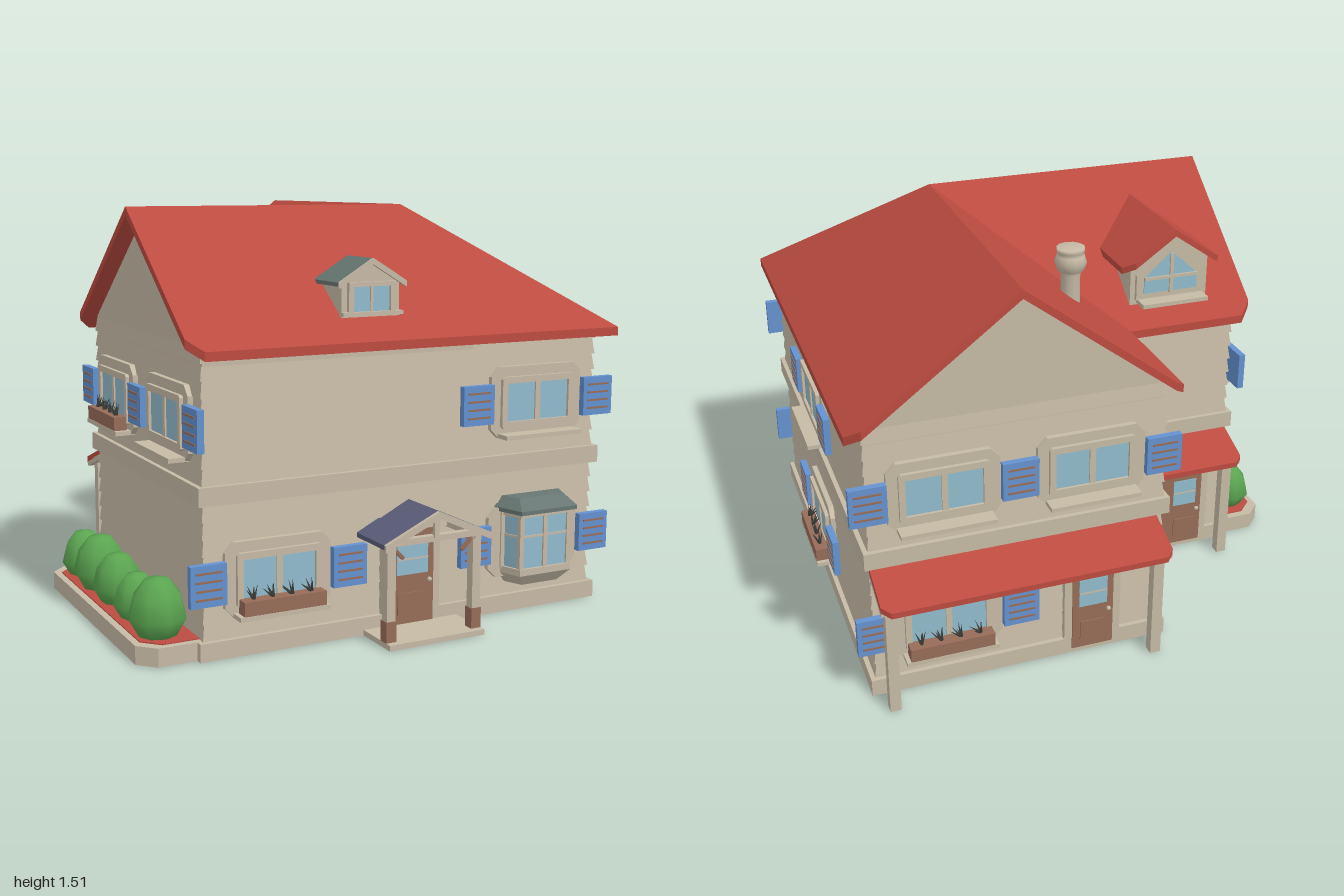
import * as THREE from 'three';

const mat = (name, color, side = THREE.FrontSide) => {
  const m = new THREE.MeshStandardMaterial({ color, side });
  m.name = name;
  return m;
};
const WALL = mat('stone beige', 0xc6baa5), ROOF = mat('roof red', 0xbc4b40), GLASS = mat('pale blue glass', 0x92bbcd);
const BLUE = mat('shutter blue', 0x6492cf), WOOD = mat('brown wood', 0x966c58), GREEN = mat('leaf green', 0x5ba551);
const SLATE = mat('porch slate', 0x5a5d78), GREY = mat('grey green metal', 0x687773), DARK = mat('dark plants', 0x3a3d3a);

function add(parent, name, geo, m, x = 0, y = 0, z = 0) {
  const mesh = new THREE.Mesh(geo, m);
  mesh.name = name;
  mesh.position.set(x, y, z);
  parent.add(mesh);
  return mesh;
}
const box = (p, name, m, w, h, d, x, y, z) => add(p, name, new THREE.BoxGeometry(w, h, d), m, x, y, z);
function group(parent, name, x = 0, y = 0, z = 0, ry = 0) {
  const g = new THREE.Group();
  g.name = name;
  g.position.set(x, y, z);
  g.rotation.y = ry;
  parent.add(g);
  return g;
}
const shapeOf = pts => new THREE.Shape(pts.map(p => new THREE.Vector2(p[0], p[1])));
const extrude = (pts, depth) => new THREE.ExtrudeGeometry(shapeOf(pts), { depth, bevelEnabled: false });
// rectangle with cut corners
const cutRect = (w, h, c) => [[-w + c, -h], [w - c, -h], [w, -h + c], [w, h - c], [w - c, h], [-w + c, h], [-w, h - c], [-w, -h + c]];

// plate over an [x, z] outline whose top height follows h(x, z)
function slab(pts, t, h) {
  const g = extrude(pts.map(([x, z]) => [x, -z]), t).rotateX(-Math.PI / 2);
  const p = g.attributes.position;
  for (let i = 0; i < p.count; i++) p.setY(i, p.getY(i) - t + h(p.getX(i), p.getZ(i)));
  g.computeVertexNormals();
  return g;
}

// skin between stacked rings of [x, y, z] points, closed at both ends
function loft(rings) {
  const v = [], n = rings[0].length;
  for (let r = 0; r + 1 < rings.length; r++) for (let i = 0; i < n; i++) {
    const j = (i + 1) % n, a = rings[r][i], b = rings[r][j], c = rings[r + 1][j], d = rings[r + 1][i];
    v.push(...a, ...b, ...c, ...a, ...c, ...d);
  }
  const plan = rings[0].map(p => new THREE.Vector2(p[0], -p[2]));
  const top = rings[rings.length - 1];
  for (const [a, b, c] of THREE.ShapeUtils.triangulateShape(plan, [])) {
    v.push(...rings[0][a], ...rings[0][c], ...rings[0][b], ...top[a], ...top[b], ...top[c]);
  }
  const g = new THREE.BufferGeometry();
  g.setAttribute('position', new THREE.Float32BufferAttribute(v, 3));
  g.computeVertexNormals();
  return g;
}

function shutter(parent, x, y) {
  const g = group(parent, 'shutter', x, y, 0.03);
  box(g, 'shutterPanel', BLUE, 0.132, 0.145, 0.025, 0, 0, 0);
  for (let i = 0; i < 4; i++) box(g, 'shutterSlat', WOOD, 0.095, 0.007, 0.006, 0, -0.045 + i * 0.03, 0.013);
}

function flowerBox(parent, y) {
  const g = group(parent, 'flowerBox', 0, y, 0.055);
  box(g, 'trough', WOOD, 0.31, 0.05, 0.05, 0, 0, 0);
  for (let i = 0; i < 4; i++) for (let k = -2; k <= 2; k++) {
    const leaf = new THREE.ConeGeometry(0.006, 0.055, 4).translate(0, 0.0275, 0);
    leaf.rotateZ(-k * 0.45).rotateY((i + k) * 0.6);
    add(g, 'plantLeaf', leaf, DARK, -0.11 + i * 0.073, 0.022, 0);
  }
}

// window facing local +z, origin at its centre on the wall
function windowUnit(parent, x, y, z, ry, { flowers = false, sides = [-1, 1] } = {}) {
  const g = group(parent, 'window', x, y, z, ry);
  add(g, 'surround', extrude(cutRect(0.2, 0.132, 0.035), 0.02), WALL);
  const frame = shapeOf(cutRect(0.16, 0.095, 0.008));
  frame.holes.push(new THREE.Path(cutRect(0.137, 0.071, 0.001).map(p => new THREE.Vector2(...p))));
  add(g, 'frame', new THREE.ExtrudeGeometry(frame, { depth: 0.034, bevelEnabled: false }), WALL);
  box(g, 'glass', GLASS, 0.275, 0.143, 0.006, 0, 0, 0.021);
  box(g, 'mullion', WALL, 0.022, 0.143, 0.02, 0, 0, 0.02);
  box(g, 'sill', WALL, 0.34, 0.016, 0.08, 0, -0.122, 0.04);
  if (flowers) flowerBox(g, -0.088);
  for (const s of sides) shutter(g, s * 0.268, 0);
}

function door(parent, x, z, ry, w, panes) {
  const g = group(parent, 'door', x, 0.02, z, ry);
  box(g, 'doorFrame', WALL, w + 0.06, 0.385, 0.024, 0, 0.192, 0.01);
  box(g, 'doorLeaf', WOOD, w, 0.345, 0.014, 0, 0.1725, 0.02);
  const pw = w / panes;
  for (let i = 0; i < panes; i++) {
    const px = -w / 2 + pw * (i + 0.5);
    box(g, 'doorGlass', GLASS, pw - 0.05, 0.115, 0.006, px, 0.24, 0.027);
    box(g, 'doorBar', WALL, pw - 0.05, 0.006, 0.008, px, 0.24, 0.028);
    box(g, 'doorPanel', WOOD, pw - 0.06, 0.08, 0.008, px, 0.075, 0.028);
  }
  add(g, 'knob', new THREE.SphereGeometry(0.009, 10, 8), WALL, w / 2 - 0.02, 0.155, 0.034);
}

function awning(parent, x0, x1, z, posts) {
  const g = group(parent, 'awning'), c = 0.03, zo = z - 0.19;
  const h = (x, zz) => 0.53 - (z - zz) * 0.36;
  const outline = [[x0, z], [x1, z], [x1, zo + c], [x1 - c, zo], [x0 + c, zo], [x0, zo + c]];
  add(g, 'awningRoof', slab(outline, 0.022, h), ROOF);
  const under = [[x0, z], [x1, z], [x1, zo + 0.03], [x0, zo + 0.03]];
  add(g, 'awningRafters', slab(under, 0.022, (x, zz) => h(x, zz) - 0.018), WALL);
  for (const x of posts) box(g, 'awningPost', WALL, 0.04, 0.48, 0.04, x, 0.24, z - 0.11);
}

export function createModel() {
  const house = new THREE.Group();
  house.name = 'house';

  // walls: plinth, overlapping boards and middle band in one skin
  const plan = [[-0.735, 0.79, -1, 1], [0.865, 0.79, 1, 1], [0.865, -0.805, 1, -1], [-0.22, -0.805, -1, -1], [-0.22, -0.28, -1, -1], [-0.735, -0.28, -1, -1]];
  const profile = [[0, 0.025], [0.065, 0.025]];
  const boards = (y0, y1, n) => {
    const s = (y1 - y0) / n;
    for (let i = 0; i < n; i++) profile.push([y0 + i * s, 0.008], [y0 + (i + 1) * s, 0]);
  };
  boards(0.065, 0.535, 8);
  profile.push([0.535, 0.025], [0.6, 0.025]);
  boards(0.6, 1.07, 8);
  add(house, 'walls', loft(profile.map(([y, d]) => plan.map(([x, z, sx, sz]) => [x + sx * d, y, z + sz * d]))), WALL);

  // gable walls under the two ridges
  const gable = [[-0.54, 1.0], [0.54, 1.0], [0.54, 1.07], [0, 1.47], [-0.54, 1.07]];
  add(house, 'backGable', extrude(gable, 1.06), WALL, 0.325, 0, -0.806);
  add(house, 'sideGable', extrude(gable, 1.06).rotateY(Math.PI / 2), WALL, -0.736, 0, 0.26);

  // main roof: four slopes meeting at a hip and a valley
  const c = 0.05, k = 0.755, R = [0.33, 0.26], V = [-0.28, -0.35], H = [0.93, 0.86];
  const alongX = (x, z) => 1.51 - k * Math.abs(z - 0.26), alongZ = (x, z) => 1.51 - k * Math.abs(x - 0.33);
  add(house, 'frontRoof', slab([[-0.8, 0.26], R, H, [-0.8 + c, 0.86], [-0.8, 0.86 - c]], 0.032, alongX), ROOF);
  add(house, 'rearWingRoof', slab([[-0.8, 0.26], R, V, [-0.8 + c, -0.35], [-0.8, -0.35 + c]], 0.032, alongX), ROOF);
  add(house, 'rightRoof', slab([R, [0.33, -0.87], [0.93 - c, -0.87], [0.93, -0.87 + c], H], 0.032, alongZ), ROOF);
  add(house, 'innerRoof', slab([[0.33, -0.87], R, V, [-0.28, -0.87 + c], [-0.28 + c, -0.87]], 0.032, alongZ), ROOF);

  // front dormer
  const fd = group(house, 'frontDormer', -0.085, 0, 0);
  add(fd, 'dormerWall', extrude([[-0.115, 1.05], [0.115, 1.05], [0.115, 1.25], [0, 1.318], [-0.115, 1.25]], 0.165), WALL, 0, 0, 0.595);
  for (const s of [-1, 1]) {
    const h = x => 1.337 - Math.abs(x) * 0.6;
    add(fd, 'dormerRoof', slab([[0, 0.59], [s * 0.135, 0.59], [s * 0.135, 0.77], [0, 0.77]], 0.014, h), GREY);
    add(fd, 'dormerTrim', slab([[0, 0.765], [s * 0.135, 0.765], [s * 0.135, 0.778], [0, 0.778]], 0.022, h), WALL);
    box(fd, 'dormerJamb', WALL, 0.02, 0.11, 0.02, s * 0.083, 1.195, 0.765);
  }
  box(fd, 'dormerGlass', GLASS, 0.145, 0.09, 0.006, 0, 1.195, 0.762);
  box(fd, 'dormerMullion', WALL, 0.01, 0.09, 0.014, 0, 1.195, 0.763);
  box(fd, 'dormerHead', WALL, 0.186, 0.016, 0.02, 0, 1.247, 0.765);
  box(fd, 'dormerSill', WALL, 0.24, 0.014, 0.03, 0, 1.145, 0.768);

  // rear dormer with a triangular window
  const rd = group(house, 'rearDormer', -0.47, 0, 0);
  add(rd, 'dormerWall', extrude([[-0.16, 1.08], [0.16, 1.08], [0.16, 1.28], [0, 1.395], [-0.16, 1.28]], 0.34), WALL, 0, 0, -0.26);
  for (const s of [-1, 1]) {
    add(rd, 'dormerRoof', slab([[0, -0.31], [0, 0.14], [s * 0.2, -0.047], [s * 0.2, -0.27], [s * 0.16, -0.31]], 0.025, x => 1.42 - Math.abs(x) * 0.7), ROOF);
  }
  add(rd, 'dormerSurround', extrude([[-0.14, 1.14], [0.14, 1.14], [0.14, 1.24], [0, 1.36], [-0.14, 1.24]], 0.015), WALL, 0, 0, -0.275);
  add(rd, 'dormerGlass', extrude([[-0.11, 1.165], [0.11, 1.165], [0.11, 1.225], [0, 1.325], [-0.11, 1.225]], 0.005), GLASS, 0, 0, -0.279);
  box(rd, 'dormerMullion', WALL, 0.014, 0.16, 0.012, 0, 1.24, -0.28);
  box(rd, 'dormerBar', WALL, 0.22, 0.012, 0.012, 0, 1.225, -0.28);
  box(rd, 'dormerSill', WALL, 0.27, 0.016, 0.07, 0, 1.135, -0.3);

  // chimney pot
  const pot = [[0.036, 1.18], [0.036, 1.34], [0.05, 1.355], [0.06, 1.385], [0.052, 1.41], [0.045, 1.415], [0.052, 1.425], [0.052, 1.44], [0, 1.44]];
  add(house, 'chimneyPot', new THREE.LatheGeometry(pot.map(p => new THREE.Vector2(...p)), 12), WALL, -0.015, 0, -0.39);

  // windows
  const hi = 0.797, lo = 0.27, P = Math.PI;
  windowUnit(house, 0.595, hi, 0.794, 0);
  windowUnit(house, -0.467, lo, 0.794, 0, { flowers: true });
  windowUnit(house, 0.869, hi, 0, P / 2);
  windowUnit(house, 0.869, lo, 0, P / 2, { flowers: true });
  windowUnit(house, 0.6, hi, -0.809, P);
  windowUnit(house, 0.064, hi, -0.809, P, { sides: [1] });
  windowUnit(house, 0.6, lo, -0.809, P, { flowers: true });
  windowUnit(house, -0.739, hi, -0.01, -P / 2, { flowers: true });
  windowUnit(house, -0.739, hi, 0.526, -P / 2, { sides: [1] });

  // bay window
  const bay = group(house, 'bayWindow', 0.595, 0, 0.794);
  add(bay, 'surround', extrude(cutRect(0.2, 0.132, 0.035), 0.02), WALL, 0, lo, 0);
  for (const s of [-1, 1]) shutter(bay, s * 0.268, lo);
  const ring = (y, w, f, d) => [[-w, y, 0], [-f, y, d], [f, y, d], [w, y, 0]].map(p => [...p]);
  add(bay, 'bayBase', loft([ring(0.11, 0.11, 0.08, 0.07), ring(0.155, 0.15, 0.115, 0.105), ring(0.18, 0.15, 0.115, 0.105)]), WALL);
  add(bay, 'bayGlass', loft([ring(0.175, 0.14, 0.108, 0.094), ring(0.4, 0.14, 0.108, 0.094)]), GLASS);
  add(bay, 'bayHead', loft([ring(0.375, 0.148, 0.113, 0.102), ring(0.4, 0.148, 0.113, 0.102)]), WALL);
  add(bay, 'bayRoof', loft([ring(0.39, 0.162, 0.125, 0.122), ring(0.405, 0.162, 0.125, 0.122), ring(0.443, 0.13, 0.1, 0.07)]), GREY);
  for (const s of [-1, 0, 1]) box(bay, 'bayMullion', WALL, 0.018, 0.22, 0.018, s * 0.106, 0.28, 0.092);
  for (const s of [-1, 1]) box(bay, 'bayJamb', WALL, 0.018, 0.22, 0.025, s * 0.138, 0.28, 0.014);
  add(bay, 'bayBar', loft([ring(0.297, 0.145, 0.11, 0.098), ring(0.305, 0.145, 0.11, 0.098)]), WALL);

  // front porch
  const porch = group(house, 'porch', 0.062, 0, 0);
  box(porch, 'porchStep', WALL, 0.39, 0.02, 0.21, 0, 0.01, 0.895);
  for (const s of [-1, 1]) {
    const h = x => 0.472 - Math.abs(x) * 0.45;
    add(porch, 'porchRoof', slab([[0, 0.79], [s * 0.215, 0.79], [s * 0.215, 0.99], [0, 0.99]], 0.016, h), SLATE);
    add(porch, 'bargeboard', slab([[0, 0.985], [s * 0.215, 0.985], [s * 0.215, 1], [0, 1]], 0.026, h), WALL);
    box(porch, 'porchPost', WALL, 0.034, 0.36, 0.034, s * 0.175, 0.19, 0.955);
    box(porch, 'postBase', WOOD, 0.04, 0.075, 0.04, s * 0.175, 0.057, 0.955);
    box(porch, 'porchBeam', WALL, 0.026, 0.026, 0.19, s * 0.175, 0.365, 0.885);
    box(porch, 'brace', WOOD, 0.012, 0.07, 0.014, s * 0.145, 0.335, 0.955).rotation.z = -s * 0.8;
  }
  box(porch, 'porchCrossBeam', WALL, 0.39, 0.022, 0.026, 0, 0.372, 0.965);
  box(porch, 'kingPost', WALL, 0.018, 0.08, 0.014, 0, 0.415, 0.975);
  door(house, 0.062, 0.794, 0, 0.18, 1);

  // rear doors and awnings
  door(house, 0.05, -0.809, P, 0.16, 1);
  door(house, -0.49, -0.284, P, 0.3, 2);
  awning(house, -0.2, 0.87, -0.805, [-0.165, 0.83]);
  awning(house, -0.74, -0.22, -0.28, [-0.7]);

  // planter and shrubs
  const bed = (x, z0, z1) => [[-0.72, z0], [x + 0.06, z0], [x, z0 + 0.06], [x, z1 - 0.06], [x + 0.06, z1], [-0.72, z1]];
  add(house, 'planter', slab(bed(-0.96, -0.28, 0.79), 0.066, () => 0.066), WALL);
  add(house, 'planterSoil', slab(bed(-0.935, -0.25, 0.765), 0.006, () => 0.07), ROOF);
  const egg = [[0, 0], [0.65, 0.04], [1, 0.35], [0.8, 0.72], [0.42, 0.97], [0, 1]].map(p => new THREE.Vector2(...p));
  [[-0.15, 0.09], [0.05, 0.105], [0.25, 0.095], [0.45, 0.085], [0.66, 0.105]].forEach(([z, r], i) => {
    const shrub = add(house, 'shrub', new THREE.LatheGeometry(egg, 8), GREEN, -0.96 + 0.107, 0.06, z);
    shrub.scale.set(r, r * 2, r);
    shrub.rotation.y = i;
  });
  return house;
}
